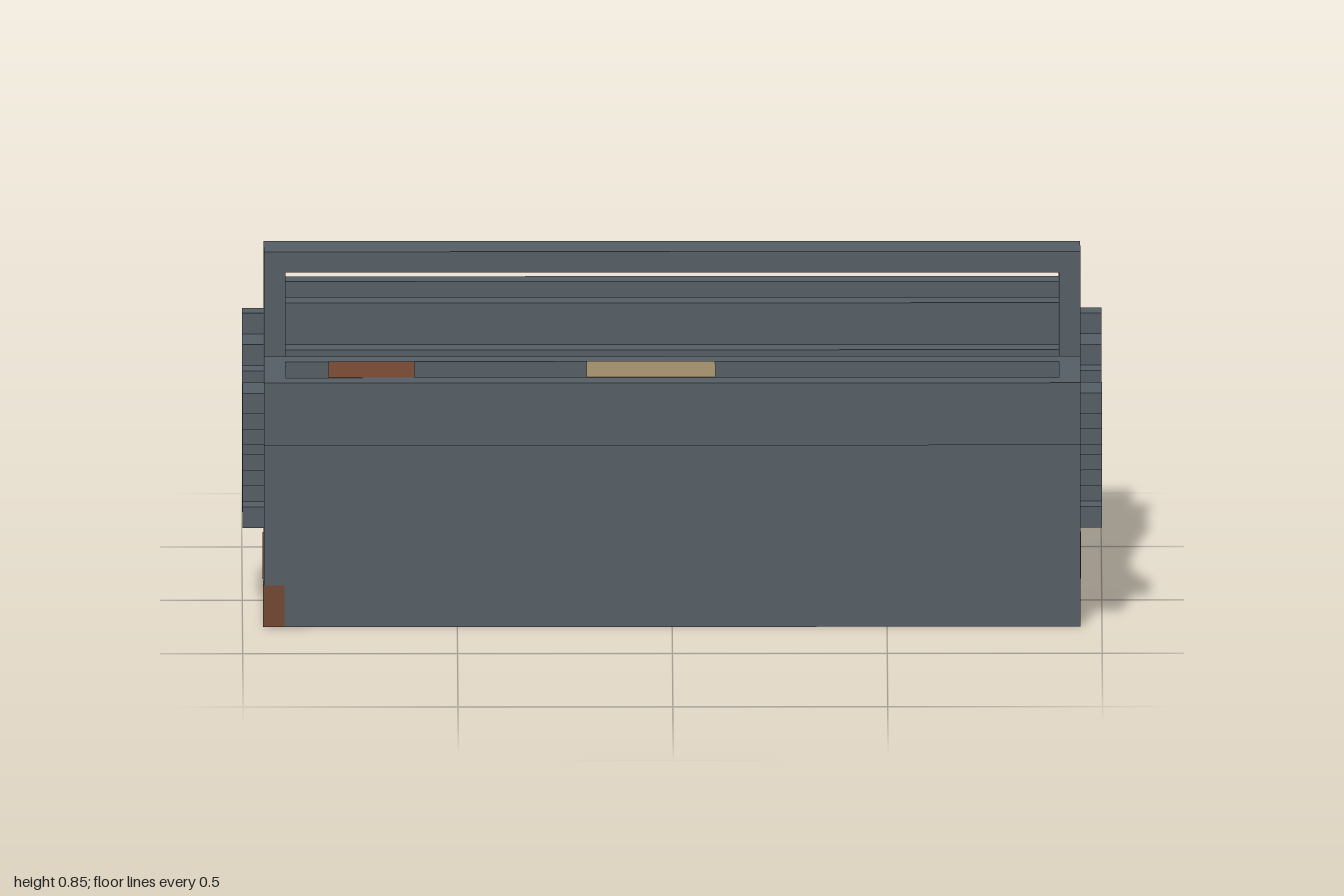
import * as THREE from 'three';

export function createModel() {
  const model = new THREE.Group();
  const mat = (name, color) => {
    const m = new THREE.MeshStandardMaterial({ color });
    m.name = name;
    return m;
  };
  const steel = mat('grey steel', 0x545d64);
  const rust = mat('rust red', 0x70452f);
  const wood = mat('brown wood', 0x6f5737);
  const paleWood = mat('pale wood', 0x9a8866);

  // Box given by its minimum and maximum on each axis
  const box = (name, material, x0, x1, y0, y1, z0, z1, parent = model) => {
    const mesh = new THREE.Mesh(new THREE.BoxGeometry(x1 - x0, y1 - y0, z1 - z0), material);
    mesh.position.set((x0 + x1) / 2, (y0 + y1) / 2, (z0 + z1) / 2);
    mesh.name = name;
    parent.add(mesh);
  };

  // Open container with walls 0.05 thick and a floor at the given height
  const container = (name, y0, floor, y1, z0, z1) => {
    const g = new THREE.Group();
    g.name = name;
    const t = 0.05, w = 0.95;
    box('base', steel, -w, w, y0, floor, z0, z1, g);
    box('backWall', steel, -w, w, floor, y1, z0, z0 + t, g);
    box('frontWall', steel, -w, w, floor, y1, z1 - t, z1, g);
    box('rightWall', steel, -w, -w + t, floor, y1, z0 + t, z1 - t, g);
    box('leftWall', steel, w - t, w, floor, y1, z0 + t, z1 - t, g);
    model.add(g);
  };
  container('body', 0, 0.4, 0.55, -0.25, 0.25);
  container('frontTray', 0.5, 0.55, 0.65, 0.25, 0.5);
  container('backTray', 0.5, 0.55, 0.65, -0.5, -0.25);

  // Carrying handle
  box('handleBar', steel, -0.95, 0.95, 0.8, 0.85, -0.05, 0.05);
  box('handlePost', steel, -0.95, -0.9, 0.55, 0.8, -0.05, 0.05);
  box('handlePost', steel, 0.9, 0.95, 0.55, 0.8, -0.05, 0.05);

  // Stepped folding arms on both ends: [y, z from, z to]
  const steps = [
    [0.55, 0.3, 0.4], [0.5, 0.25, 0.35], [0.45, 0.2, 0.3], [0.4, 0.1, 0.2], [0.35, 0.05, 0.15],
    [0.55, -0.4, -0.35], [0.5, -0.35, -0.25], [0.45, -0.3, -0.2], [0.4, -0.25, -0.15], [0.35, -0.15, -0.1],
    [0.3, -0.1, 0.1], [0.25, -0.05, 0.05], [0.2, 0, 0.1], [0.2, -0.1, -0.05],
  ];
  for (const x of [-1, 0.95]) {
    for (const [y, z0, z1] of steps) box('foldingArm', steel, x, x + 0.05, y, y + 0.05, z0, z1);
  }

  // Rusted bottom corners
  const e = 0.002;
  for (const [sx, sz] of [[-1, 1], [-1, -1], [1, -1]]) {
    const x = sx * (0.925 + e), z = sz * (0.225 + e);
    box('rustCorner', rust, x - 0.025, x + 0.025, 0, 0.1, z - 0.025, z + 0.025);
  }

  // Tray dividers
  for (const z of [-0.45, 0.3]) {
    box('trayDivider', steel, -0.35, -0.3, 0.55, 0.6, z, z + 0.15);
    box('trayDivider', steel, 0.3, 0.35, 0.55, 0.6, z, z + 0.15);
  }

  // Front tray contents
  box('redBlock', rust, -0.8, -0.6, 0.55, 0.651, 0.3, 0.45);
  box('paleBlock', paleWood, -0.2, 0.1, 0.55, 0.651, 0.3, 0.45);

  // Back tray contents: chisel, pliers and spanner
  box('chiselHandle', wood, -0.25, 0.15, 0.55, 0.6, -0.4, -0.35);
  box('chiselTip', steel, 0.15, 0.2, 0.55, 0.6, -0.4, -0.35);
  box('pliersGrip', rust, 0.45, 0.65, 0.55, 0.6, -0.45, -0.4);
  box('pliersGrip', rust, 0.45, 0.65, 0.55, 0.6, -0.35, -0.3);
  box('pliersHead', steel, 0.65, 0.8, 0.55, 0.6, -0.45, -0.3);
  box('spannerArm', steel, -0.85, -0.7, 0.55, 0.6, -0.45, -0.4);
  box('spannerArm', steel, -0.85, -0.7, 0.55, 0.6, -0.35, -0.3);
  box('spannerPivot', steel, -0.7, -0.65, 0.55, 0.6, -0.4, -0.3);
  box('spannerJaw', steel, -0.7, -0.6, 0.55, 0.6, -0.45, -0.4);

  // Body contents: hammer, saw frame and screwdriver
  box('hammerHead', steel, -0.7, -0.55, 0.4, 0.45, -0.2, -0.05);
  box('hammerHandle', paleWood, -0.55, 0, 0.4, 0.45, -0.15, -0.1);
  box('hammerGrip', wood, 0, 0.35, 0.4, 0.45, -0.15, -0.1);
  box('metalBlock', steel, 0.4, 0.6, 0.4, 0.45, -0.2, -0.05);
  box('sawFrame', steel, -0.55, 0.2, 0.4, 0.45, 0.05, 0.1);
  box('sawFoot', steel, -0.55, -0.5, 0.4, 0.45, 0.1, 0.15);
  box('sawFoot', steel, 0.15, 0.2, 0.4, 0.45, 0.1, 0.15);
  box('screwdriverShaft', steel, 0.35, 0.6, 0.4, 0.45, 0.1, 0.15);
  box('screwdriverHandle', wood, 0.6, 0.85, 0.4, 0.45, 0.05, 0.15);

  return model;
}
